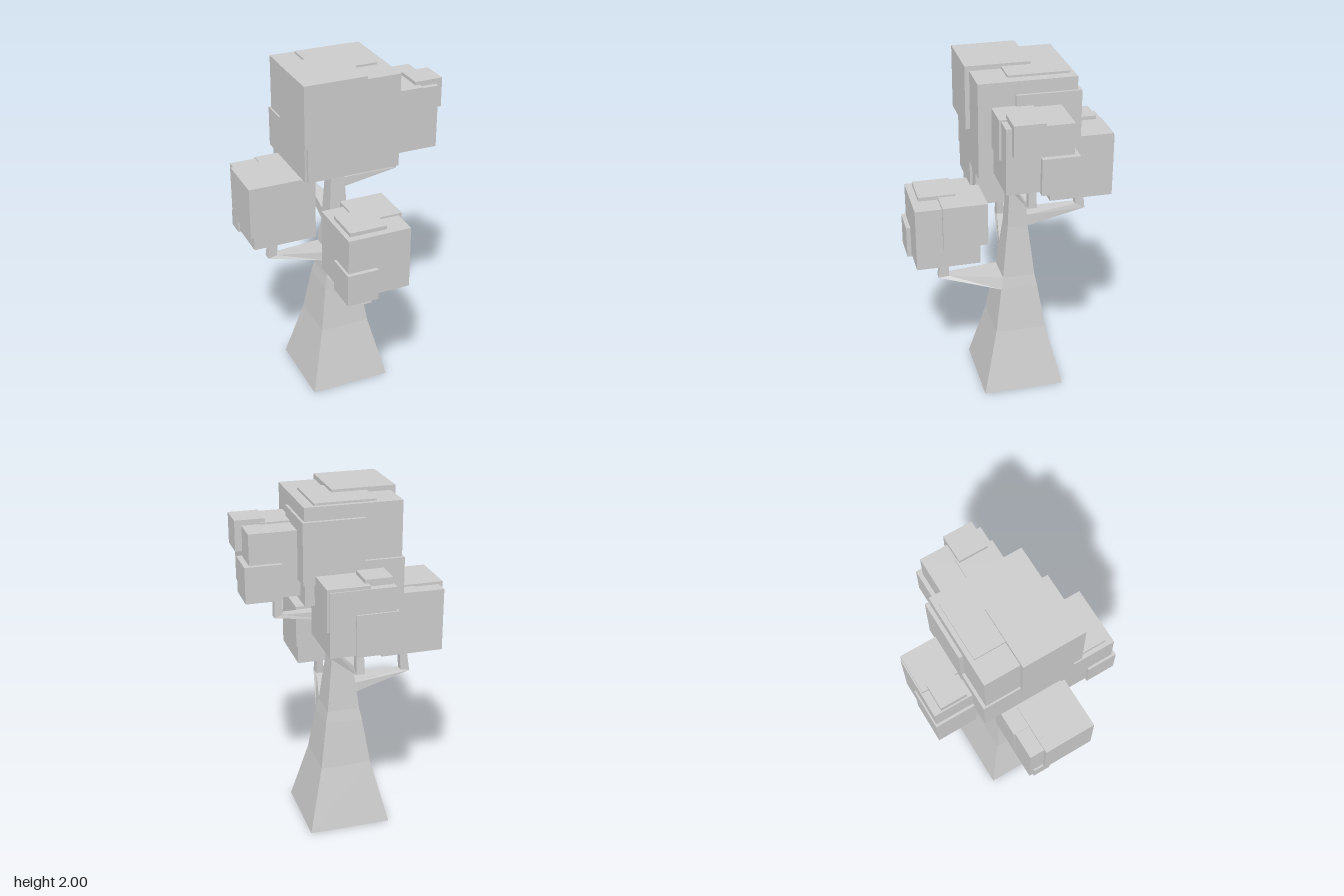
import * as THREE from 'three';

const material = new THREE.MeshStandardMaterial({ color: 0xcccccc, flatShading: true });
const AXIS_Z = -0.058; // trunk axis sits a little behind the centre

// Skin a series of four-cornered rings and cap both ends
function loft(rings) {
  const pos = [];
  const quad = (a, b, c, d) => [a, b, c, a, c, d].forEach((p) => pos.push(...p));
  for (let r = 0; r < rings.length - 1; r++) {
    const a = rings[r], b = rings[r + 1];
    for (let i = 0; i < 4; i++) {
      const j = (i + 1) % 4;
      quad(a[i], a[j], b[j], b[i]);
    }
  }
  quad(...[...rings[0]].reverse());
  quad(...rings[rings.length - 1]);
  const geo = new THREE.BufferGeometry();
  geo.setAttribute('position', new THREE.Float32BufferAttribute(pos, 3));
  geo.computeVertexNormals();
  return geo;
}

function addMesh(parent, geo, name) {
  const mesh = new THREE.Mesh(geo, material);
  mesh.name = name;
  parent.add(mesh);
  return mesh;
}

// Tapered square trunk: [height, half width]
const TRUNK = [[0, 0.238], [0.37, 0.148], [0.635, 0.108], [0.705, 0.094], [0.86, 0.077],
  [1.013, 0.059], [1.25, 0.045], [1.5, 0.03]];

// Bent branches: [distance from axis, height] of lower/outer and upper/inner edges
const BRANCHES = [
  { name: 'frontBranch', turn: 0,
    root: [[0.108, 0.635], [0.093, 0.705]], elbow: [[0.461, 0.716], [0.4, 0.72]], tip: [[0.43, 0.9], [0.39, 0.9]] },
  { name: 'rightBranch', turn: -Math.PI / 2,
    root: [[0.083, 0.807], [0.077, 0.86]], elbow: [[0.424, 0.87], [0.37, 0.88]], tip: [[0.396, 1.07], [0.358, 1.07]] },
  { name: 'backBranch', turn: Math.PI,
    root: [[0.059, 1.013], [0.055, 1.08]], elbow: [[0.409, 1.07], [0.352, 1.1]], tip: [[0.39, 1.25], [0.354, 1.25]] },
  { name: 'leftBranch', turn: Math.PI / 2,
    root: [[0.045, 1.25], [0.042, 1.305]], elbow: [[0.377, 1.29], [0.33, 1.305]], tip: [[0.37, 1.48], [0.334, 1.48]] },
];

// Foliage blocks: [x0, x1, y0, y1, z0, z1], main block first
const FOLIAGE = {
  crownFoliage: [
    [-0.27, 0.266, 1.437, 1.973, -0.325, 0.21],
    [-0.297, 0.06, 1.645, 2, -0.123, 0.235],
    [-0.133, 0.207, 1.645, 1.985, -0.3, 0.038],
    [-0.06, 0.28, 1.56, 1.9, -0.346, 0.01],
    [-0.28, 0, 1.432, 1.665, -0.342, 0.19],
  ],
  frontFoliage: [
    [-0.186, 0.177, 0.875, 1.238, 0.187, 0.548],
    [-0.2, -0.02, 0.855, 1.04, 0.387, 0.572],
    [-0.16, 0.053, 1.05, 1.26, 0.297, 0.508],
    [-0.057, 0.197, 0.998, 1.25, 0.145, 0.398],
  ],
  rightFoliage: [
    [-0.56, -0.197, 1.05, 1.415, -0.233, 0.13],
    [-0.583, -0.287, 1.135, 1.43, -0.15, 0.145],
    [-0.41, -0.19, 1.2, 1.42, -0.242, -0.02],
    [-0.57, -0.47, 1.04, 1.14, -0.21, -0.11],
  ],
  backFoliage: [
    [-0.16, 0.2, 1.23, 1.59, -0.565, -0.205],
    [-0.174, 0.06, 1.222, 1.457, -0.574, -0.34],
    [-0.02, 0.213, 1.374, 1.607, -0.557, -0.324],
    [-0.152, 0, 1.476, 1.628, -0.521, -0.369],
  ],
  leftFoliage: [
    [0.18, 0.54, 1.467, 1.83, -0.233, 0.128],
    [0.413, 0.578, 1.69, 1.86, -0.072, 0.097],
    [0.367, 0.57, 1.458, 1.66, -0.257, -0.054],
    [0.22, 0.44, 1.62, 1.84, -0.082, 0.139],
  ],
};

export function createModel() {
  const tree = new THREE.Group();
  tree.name = 'blockTree';

  // Trunk
  const trunkRings = TRUNK.map(([y, h]) => [[h, y, h], [h, y, -h], [-h, y, -h], [-h, y, h]]);
  addMesh(tree, loft(trunkRings), 'trunk').position.z = AXIS_Z;

  // Branches, each growing out of a full trunk face and bending upward
  for (const { name, turn, root, elbow, tip } of BRANCHES) {
    const ring = ([[ua, ya], [ub, yb]], wa, wb) => [[-wa, ya, ua], [wa, ya, ua], [wb, yb, ub], [-wb, yb, ub]];
    const rings = [ring(root, root[0][0], root[1][0]), ring(elbow, 0.024, 0.022), ring(tip, 0.018, 0.018)];
    const branch = addMesh(tree, loft(rings), name);
    branch.rotation.y = turn;
    branch.position.z = AXIS_Z;
  }

  // Foliage clusters of overlapping blocks
  for (const [name, blocks] of Object.entries(FOLIAGE)) {
    const cluster = new THREE.Group();
    cluster.name = name;
    blocks.forEach(([x0, x1, y0, y1, z0, z1], i) => {
      const geo = new THREE.BoxGeometry(x1 - x0, y1 - y0, z1 - z0);
      const block = addMesh(cluster, geo, i ? 'smallBlock' : 'mainBlock');
      block.position.set((x0 + x1) / 2, (y0 + y1) / 2, (z0 + z1) / 2);
    });
    tree.add(cluster);
  }
  return tree;
}
